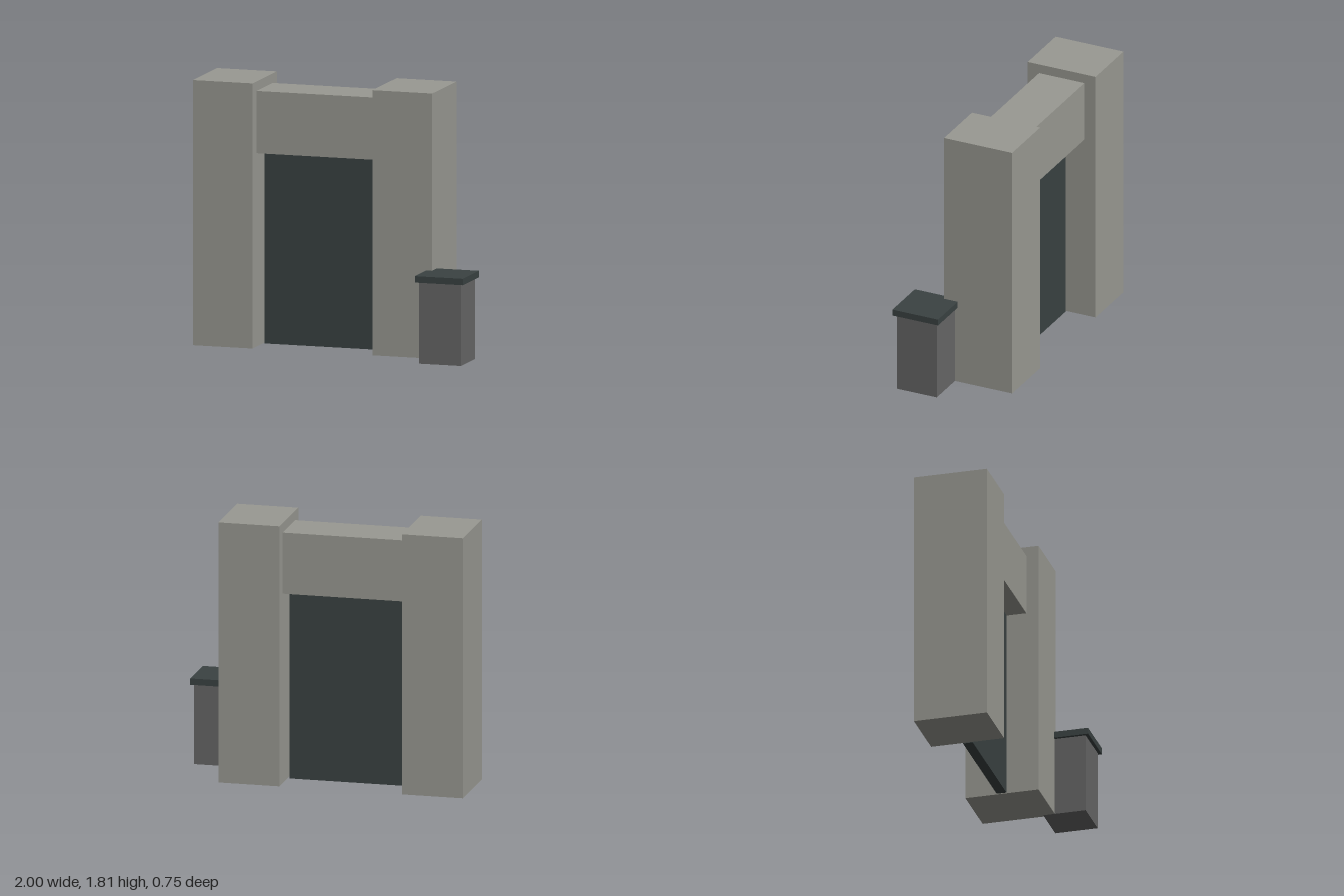
import * as THREE from 'three';

export function createModel() {
  const model = new THREE.Group();
  model.name = 'gateway';

  const material = (name, color) => {
    const m = new THREE.MeshStandardMaterial({ color });
    m.name = name;
    return m;
  };
  const stone = material('stone grey', 0x999992);
  const darkMetal = material('dark slate', 0x3a4242);
  const casing = material('casing grey', 0x666666);

  // Box given by its extents along each axis
  const block = (name, mat, [x0, x1], [y0, y1], [z0, z1]) => {
    const mesh = new THREE.Mesh(new THREE.BoxGeometry(x1 - x0, y1 - y0, z1 - z0), mat);
    mesh.position.set((x0 + x1) / 2, (y0 + y1) / 2, (z0 + z1) / 2);
    mesh.name = name;
    model.add(mesh);
  };

  // Gateway: two pillars joined by a slimmer lintel
  block('rightPillar', stone, [-1, -0.575], [0, 1.81], [-0.375, 0.135]);
  block('leftPillar', stone, [0.275, 0.7], [0, 1.81], [-0.375, 0.135]);
  block('lintel', stone, [-0.575, 0.275], [1.32, 1.745], [-0.29, 0.05]);

  // Door panel, with a narrow gap on each side
  block('door', darkMetal, [-0.566, 0.264], [0, 1.318], [-0.154, -0.086]);

  // Control post beside the left pillar
  block('controlPost', casing, [0.679, 0.977], [0, 0.556], [0.054, 0.352]);
  block('controlPostCap', darkMetal, [0.658, 1], [0.556, 0.6], [0.033, 0.375]);

  return model;
}
